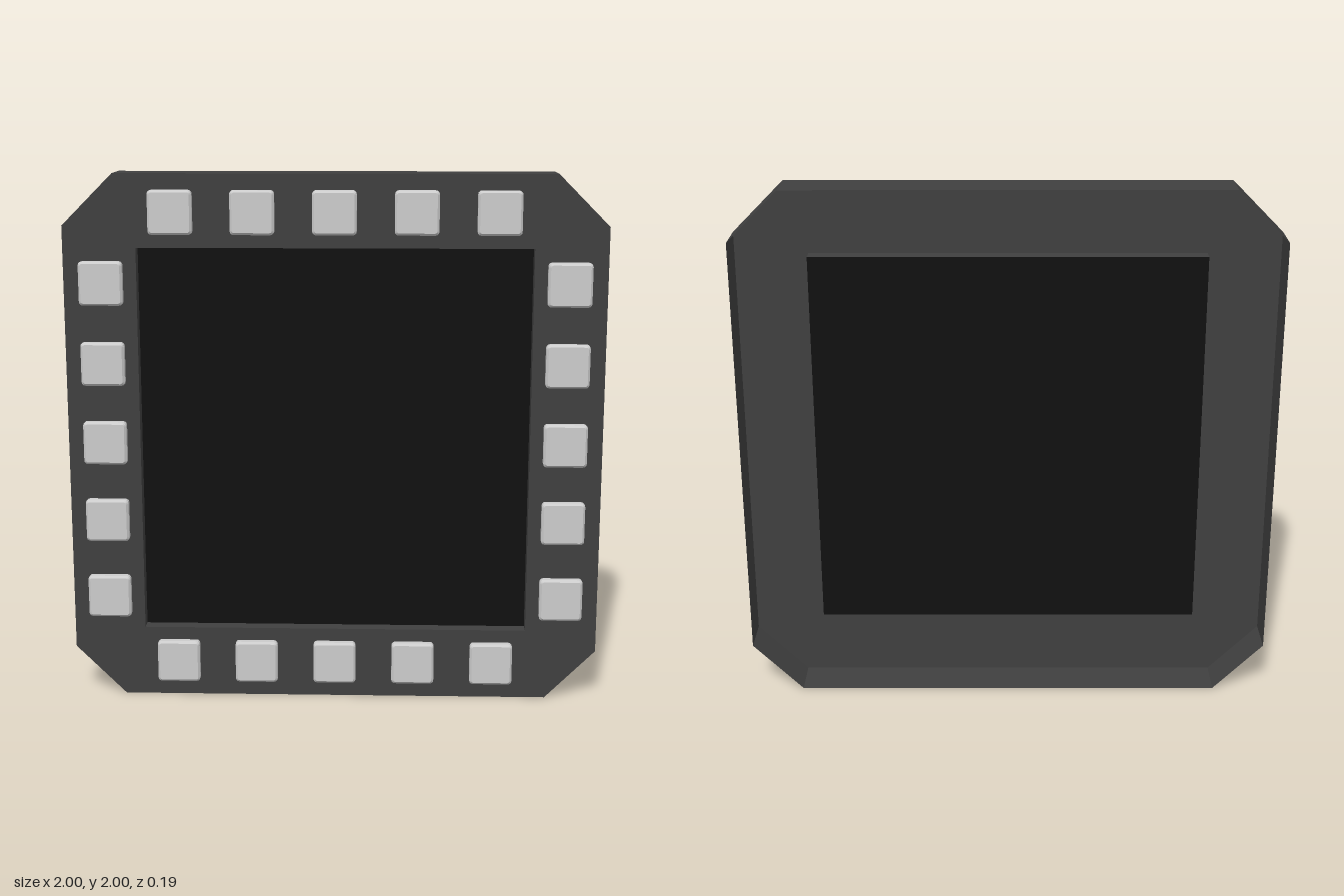
import * as THREE from 'three';
import { mergeGeometries } from 'three/addons/utils/BufferGeometryUtils.js';

const BACK = -0.095, FRONT = 0.065, SCREEN = 0.012, KEY_FRONT = 0.095;
const CY = 1; // height of the panel's centre

// Counter-clockwise outline of a square with cut corners
function cutSquare(half, cut) {
  const a = half, b = half - cut;
  return [[a, -b], [a, b], [b, a], [-b, a], [-a, b], [-a, -b], [-b, -a], [b, -a]]
    .map(([x, y]) => new THREE.Vector2(x, y));
}

// Counter-clockwise outline of a square with rounded corners
function roundSquare(half, r, steps = 3) {
  const pts = [];
  for (let q = 0; q < 4; q++) {
    for (let i = 0; i <= steps; i++) {
      const a = (q + i / steps) * Math.PI / 2;
      const m = (q + 0.5) * Math.PI / 2;
      pts.push(new THREE.Vector2(
        Math.sign(Math.cos(m)) * (half - r) + r * Math.cos(a),
        Math.sign(Math.sin(m)) * (half - r) + r * Math.sin(a)));
    }
  }
  return pts;
}

// Flat-sided open band between outline p at z0 and outline q at z1
function band(p, z0, q, z1) {
  const pos = [];
  p.forEach((a, i) => {
    const j = (i + 1) % p.length, b = p[j], c = q[j], d = q[i];
    pos.push(a.x, a.y, z0, b.x, b.y, z0, c.x, c.y, z1);
    pos.push(a.x, a.y, z0, c.x, c.y, z1, d.x, d.y, z1);
  });
  const g = new THREE.BufferGeometry();
  g.setAttribute('position', new THREE.Float32BufferAttribute(pos, 3));
  g.computeVertexNormals();
  return g;
}

// Flat plate facing +z, with an optional opening
function plate(outline, z, opening) {
  const shape = new THREE.Shape(outline);
  if (opening) shape.holes.push(new THREE.Path(opening));
  const g = new THREE.ShapeGeometry(shape).toNonIndexed();
  g.deleteAttribute('uv');
  return g.translate(0, 0, z);
}

export function createModel() {
  const model = new THREE.Group();
  model.name = 'displayPanel';
  const frameMat = new THREE.MeshStandardMaterial({ color: 0x404040, side: THREE.DoubleSide });
  const screenMat = new THREE.MeshStandardMaterial({ color: 0x101010, side: THREE.DoubleSide });
  const keyMat = new THREE.MeshStandardMaterial({ color: 0xcccccc });

  const add = (name, geometry, material, x = 0, y = 0) => {
    const mesh = new THREE.Mesh(geometry, material);
    mesh.name = name;
    mesh.position.set(x, CY + y, 0);
    model.add(mesh);
  };

  // Thin bezel shell, open at the back, with a recess around the screen
  const outer = cutSquare(1, 0.19);
  const h = 0.73;
  const opening = [[h, -h], [h, h], [-h, h], [-h, -h]].map(([x, y]) => new THREE.Vector2(x, y));
  add('bezelFront', plate(outer, FRONT, opening), frameMat);
  add('bezelSides', band(outer, BACK, outer, FRONT), frameMat);
  const inward = [...opening].reverse();
  add('screenRecess', band(inward, SCREEN, inward, FRONT), frameMat);

  // Recessed screen
  add('screen', plate(opening, SCREEN), screenMat);

  // Key cap with softened front edges
  const bevel = 0.008;
  const base = roundSquare(0.081, 0.014), top = roundSquare(0.081 - bevel, 0.008);
  const key = mergeGeometries([
    band(base, FRONT, base, KEY_FRONT - bevel),
    band(base, KEY_FRONT - bevel, top, KEY_FRONT),
    plate(top, KEY_FRONT),
  ]);

  // Five keys along each side of the bezel
  for (let i = -2; i <= 2; i++) {
    for (const s of [-1, 1]) {
      add(s > 0 ? 'topKey' : 'bottomKey', key, keyMat, i * 0.3, s * 0.86);
      add(s > 0 ? 'leftKey' : 'rightKey', key, keyMat, s * 0.86, i * 0.3);
    }
  }
  return model;
}
